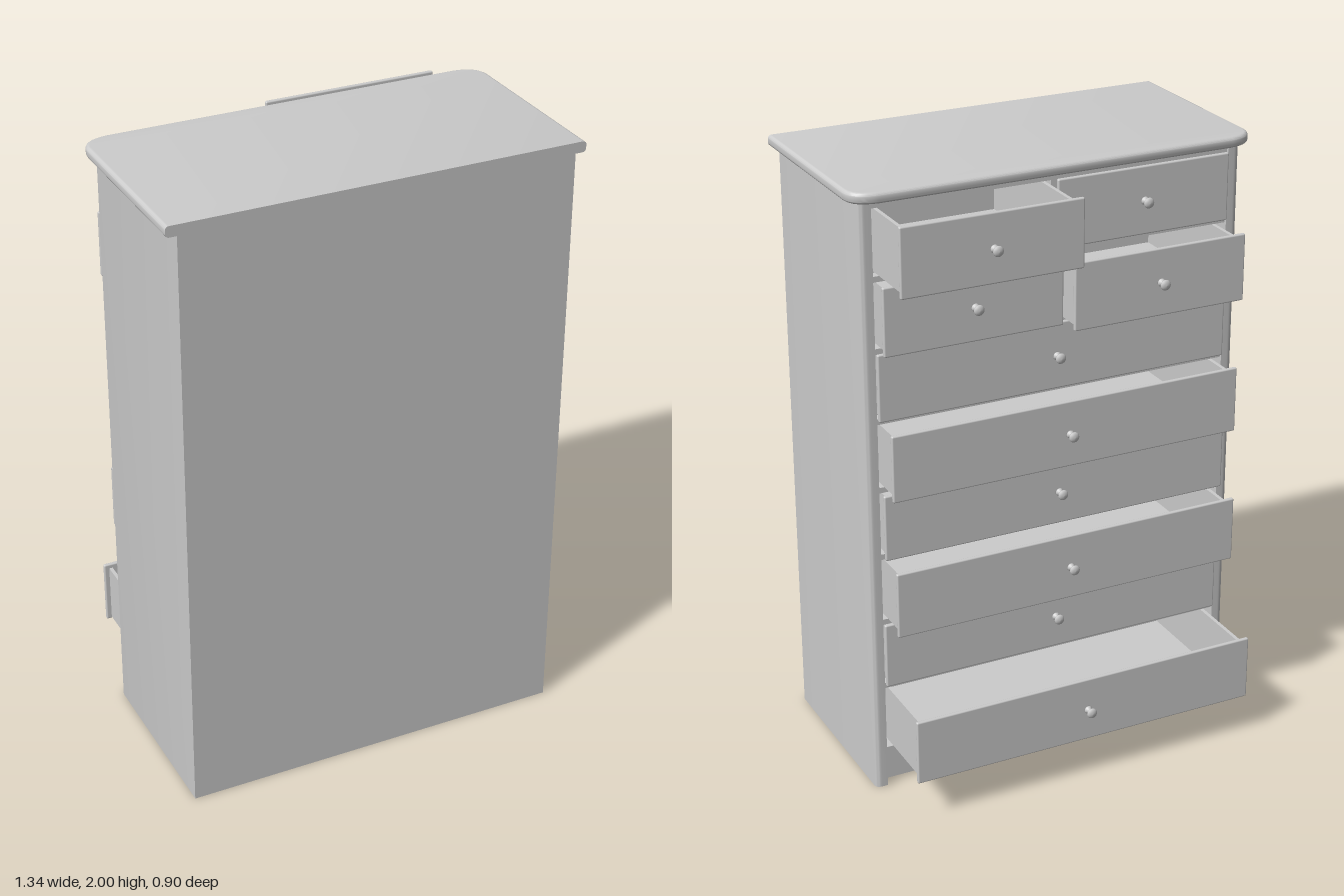
import * as THREE from 'three';
import { toCreasedNormals } from 'three/addons/utils/BufferGeometryUtils.js';
import { RoundedBoxGeometry } from 'three/addons/geometries/RoundedBoxGeometry.js';

const material = new THREE.MeshStandardMaterial({ color: 0xcccccc, side: THREE.DoubleSide });

function add(parent, name, geometry, x = 0, y = 0, z = 0) {
  const mesh = new THREE.Mesh(geometry, material);
  mesh.name = name;
  mesh.position.set(x, y, z);
  parent.add(mesh);
  return mesh;
}

// Box given by its limits on each axis
function slab(parent, name, x0, x1, y0, y1, z0, z1) {
  return add(parent, name, new THREE.BoxGeometry(x1 - x0, y1 - y0, z1 - z0),
    (x0 + x1) / 2, (y0 + y1) / 2, (z0 + z1) / 2);
}

// Sides, back and rounded front posts as one extruded plan
function carcassGeometry(height) {
  const s = new THREE.Shape();
  s.moveTo(-0.635, -0.45);
  s.lineTo(0.635, -0.45);
  s.lineTo(0.635, 0.15);
  s.quadraticCurveTo(0.635, 0.17, 0.615, 0.17);
  s.lineTo(0.595, 0.17);
  s.lineTo(0.595, 0.14);
  s.lineTo(0.627, 0.14);
  s.lineTo(0.627, -0.442);
  s.lineTo(-0.627, -0.442);
  s.lineTo(-0.627, 0.14);
  s.lineTo(-0.595, 0.14);
  s.lineTo(-0.595, 0.17);
  s.lineTo(-0.615, 0.17);
  s.quadraticCurveTo(-0.635, 0.17, -0.635, 0.15);
  s.closePath();
  const g = new THREE.ExtrudeGeometry(s, { depth: height, bevelEnabled: false, curveSegments: 8 });
  return toCreasedNormals(g.rotateX(-Math.PI / 2), 0.6);
}

// Top board: rounded front corners, half-round edge, flat at the rear
function topGeometry() {
  const b = 0.012, w = 0.67 - b, f = 0.21 - b;
  const s = new THREE.Shape();
  s.moveTo(-w, -0.48);
  s.lineTo(w, -0.48);
  s.lineTo(w, 0.13);
  s.bezierCurveTo(w, 0.175, w - 0.025, f - 0.006, 0.585, f);
  s.lineTo(-0.585, f);
  s.bezierCurveTo(-w + 0.025, f - 0.006, -w, 0.175, -w, 0.13);
  s.closePath();
  const g = new THREE.ExtrudeGeometry(s, {
    depth: 0.035 - 2 * b, bevelThickness: b, bevelSize: b, bevelSegments: 5, curveSegments: 10,
  });
  g.rotateX(-Math.PI / 2).translate(0, 1.965 + b, 0);
  const p = g.attributes.position;
  for (let i = 0; i < p.count; i++) p.setZ(i, Math.min(p.getZ(i), 0.45));
  return toCreasedNormals(g, 0.6);
}

// Turned knob pointing to -z
const knobGeometry = new THREE.LatheGeometry([
  [0, 0], [0.013, 0], [0.013, 0.004], [0.009, 0.009], [0.008, 0.017], [0.011, 0.022],
  [0.016, 0.024], [0.017, 0.028], [0.015, 0.032], [0.008, 0.035], [0, 0.036],
].map(([r, h]) => new THREE.Vector2(r, h)), 20).rotateX(-Math.PI / 2);

// Open drawer box with a lipped front and one knob; front face lies at z = 0
function makeDrawer(name, width) {
  const drawer = new THREE.Group();
  drawer.name = name;
  const hw = width / 2 - 0.017, t = 0.012, depth = 0.55;
  add(drawer, 'drawerFront', new RoundedBoxGeometry(width, 0.218, 0.014, 2, 0.005), 0, 0, 0.007);
  for (const s of [-1, 1]) {
    add(drawer, 'drawerSide', new THREE.BoxGeometry(t, 0.197, depth), s * (hw - t / 2), -0.004, 0.012 + depth / 2);
  }
  slab(drawer, 'drawerBack', -hw + t, hw - t, -0.1025, 0.0945, depth, depth + t);
  slab(drawer, 'drawerBottom', -hw + t, hw - t, -0.1025, -0.09, 0.012, depth);
  add(drawer, 'knob', knobGeometry);
  return drawer;
}

export function createModel() {
  const model = new THREE.Group();
  model.name = 'chestOfDrawers';

  add(model, 'carcass', carcassGeometry(1.966));
  add(model, 'top', topGeometry());

  // Plinth and bottom
  slab(model, 'bottomPanel', -0.627, 0.627, 0.115, 0.13, -0.14, 0.442);
  slab(model, 'plinth', -0.595, 0.595, 0.01, 0.1, -0.145, -0.13);
  slab(model, 'bottomRail', -0.595, 0.595, 0.1, 0.136, -0.162, -0.13);

  // Rails between the rows and stile between the paired drawers
  const pitch = 0.2265, lowest = 0.249;
  for (let i = 1; i <= 8; i++) {
    const y = lowest + (i - 0.5) * pitch;
    slab(model, 'rail', -0.595, 0.595, y - 0.009, y + (i === 8 ? 0.018 : 0.009), -0.162, -0.13);
  }
  slab(model, 'centreStile', -0.012, 0.012, lowest + 5.5 * pitch, 1.965, -0.162, -0.13);

  // Full-width drawers from the bottom up, each pulled out differently
  [-0.41, -0.182, -0.285, -0.203, -0.273, -0.182].forEach((z, i) => {
    const drawer = makeDrawer('wideDrawer', 1.186);
    drawer.position.set(0, lowest + i * pitch, z);
    model.add(drawer);
  });

  // Two rows of paired drawers: [left, right] positions
  [[-0.23, -0.294], [-0.362, -0.182]].forEach((pair, row) => {
    pair.forEach((z, k) => {
      const drawer = makeDrawer(k ? 'smallDrawerRight' : 'smallDrawerLeft', 0.589);
      drawer.position.set(k ? -0.297 : 0.297, lowest + (6 + row) * pitch, z);
      model.add(drawer);
    });
  });

  return model;
}
